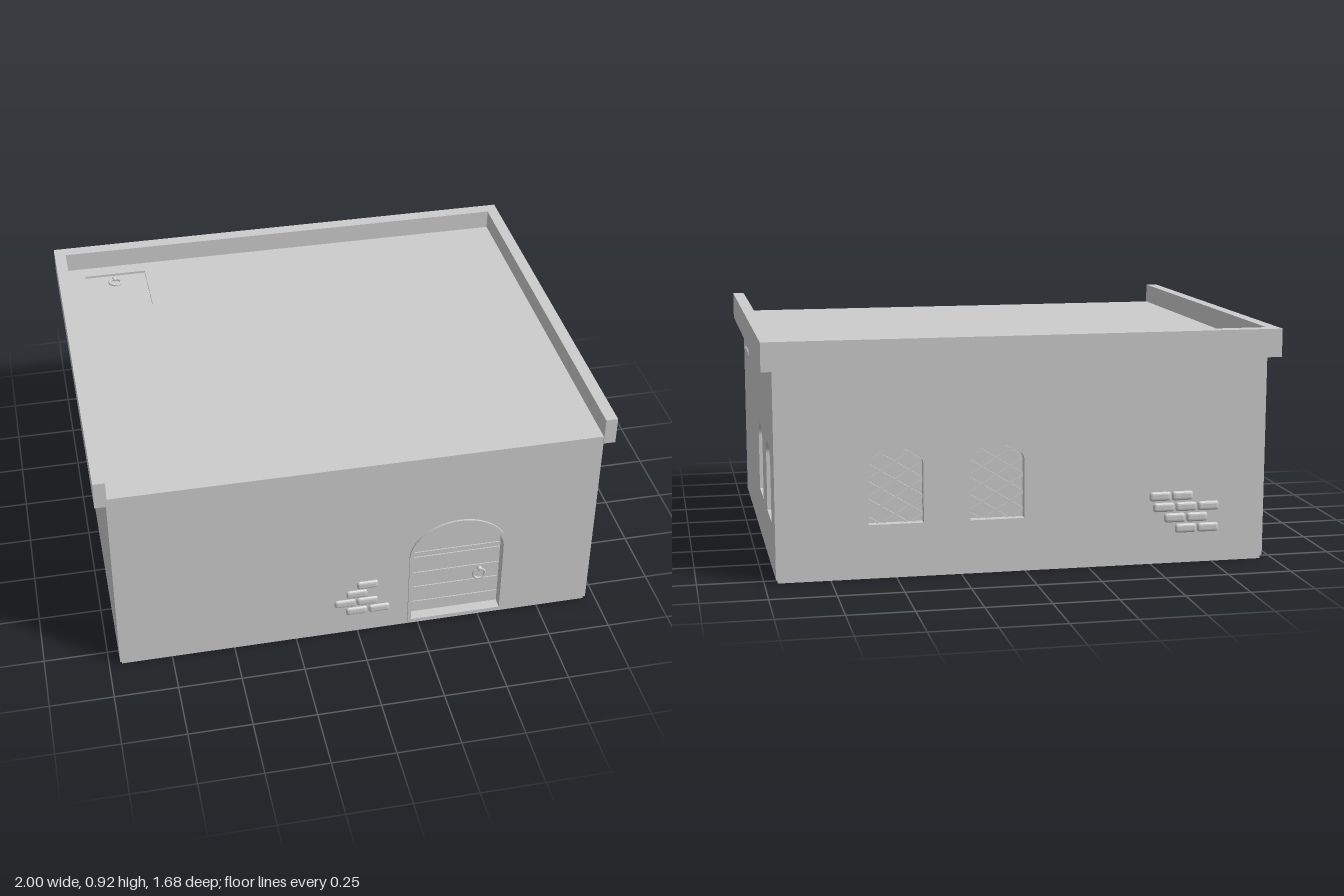
import * as THREE from 'three';
import { RoundedBoxGeometry } from 'three/addons/geometries/RoundedBoxGeometry.js';

const mat = new THREE.MeshStandardMaterial({ color: 0xcccccc, flatShading: true });
const HALF_W = 0.957, FRONT = 0.83, BACK = -0.797, BASE = 0.015, WALL_TOP = 0.82, THICK = 0.05;

function add(parent, name, geo, x = 0, y = 0, z = 0) {
  const mesh = new THREE.Mesh(geo, mat);
  mesh.name = name;
  mesh.position.set(x, y, z);
  parent.add(mesh);
  return mesh;
}

function group(parent, name) {
  const g = new THREE.Group();
  g.name = name;
  parent.add(g);
  return g;
}

const extrude = (shape, depth) =>
  new THREE.ExtrudeGeometry(shape, { depth, bevelEnabled: false, curveSegments: 16 });

function rect(x0, y0, x1, y1) {
  return new THREE.Shape([[x0, y0], [x1, y0], [x1, y1], [x0, y1]].map(p => new THREE.Vector2(...p)));
}

// Opening with a straight lower part and an elliptical head
function arch(cx, half, y0, spring, top) {
  const s = new THREE.Shape();
  s.moveTo(cx - half, y0);
  s.lineTo(cx + half, y0);
  s.lineTo(cx + half, spring);
  s.absellipse(cx, spring, half, top - spring, 0, Math.PI, false);
  s.closePath();
  return s;
}

// Ring handle with a small knob, facing +z
function ringHandle(parent, name) {
  const g = group(parent, name);
  add(g, 'ring', new THREE.TorusGeometry(0.024, 0.005, 8, 20));
  add(g, 'ringKnob', new THREE.SphereGeometry(0.011, 10, 8), 0, 0.027, 0);
  return g;
}

// Pane and diagonal lattice inside one arched opening
function windowFill(parent, cx, y0) {
  const g = group(parent, 'window');
  const half = 0.105, spring = 0.225, top = 0.29, slope = 0.62;
  g.position.set(cx, y0, 0);
  add(g, 'windowPane', extrude(arch(0, half + 0.005, -0.005, spring, top + 0.005), 0.01), 0, 0, -0.045);
  const inside = (x, y) => y >= 0 && y <= spring + (top - spring) * Math.sqrt(Math.max(0, 1 - (x / half) ** 2));
  for (const dir of [-1, 1]) {
    for (let c = -0.04; c < 0.37; c += 0.068) {
      // Clip the bar to the opening
      const xs = [];
      for (let i = 0; i <= 80; i++) {
        const x = -half + (2 * half * i) / 80;
        if (inside(x, c + dir * slope * x)) xs.push(x);
      }
      if (xs.length < 4) continue;
      const a = xs[0], b = xs[xs.length - 1], m = (a + b) / 2;
      const bar = add(g, 'latticeBar',
        new THREE.BoxGeometry((b - a) * Math.hypot(1, slope), 0.007, 0.012), m, c + dir * slope * m, -0.03);
      bar.rotation.z = Math.atan(dir * slope);
    }
  }
}

// Patch of exposed bricks: rows of [y, ...x centres]
function bricks(parent, rows) {
  const g = group(parent, 'exposedBricks');
  for (const [y, ...xs] of rows)
    for (const x of xs) add(g, 'brick', new RoundedBoxGeometry(0.087, 0.038, 0.03, 2, 0.012), x, y, -0.006);
}

// Wall panel whose outer face is local z = 0
function wall(parent, name, x0, x1, holes) {
  const g = group(parent, name);
  const shape = rect(x0, BASE, x1, WALL_TOP);
  shape.holes.push(...holes);
  add(g, name + 'Panel', extrude(shape, THICK), 0, 0, -THICK);
  return g;
}

const windowHole = (cx, y0) => arch(cx, 0.105, y0, y0 + 0.225, y0 + 0.29);

function buildDoor(parent) {
  const g = group(parent, 'door');
  const cx = 0.402;
  const frame = arch(cx, 0.198, BASE, 0.35, 0.515);
  frame.holes.push(arch(cx, 0.184, 0.032, 0.35, 0.5));
  add(g, 'doorFrame', extrude(frame, 0.052), 0, 0, -0.044);
  add(g, 'doorBacking', extrude(arch(cx, 0.19, 0.025, 0.35, 0.505), 0.008), 0, 0, -0.048);
  // Horizontal planks below an arched top panel
  const lines = [0.036, 0.092, 0.17, 0.245, 0.325, 0.35];
  for (let i = 0; i < lines.length - 1; i++) {
    const h = lines[i + 1] - lines[i] - 0.004;
    add(g, 'doorPlank', new THREE.BoxGeometry(0.364, h, 0.012), cx, (lines[i] + lines[i + 1]) / 2, -0.036);
  }
  add(g, 'doorTopPanel', extrude(arch(cx, 0.182, 0.352, 0.354, 0.497), 0.012), 0, 0, -0.042);
  ringHandle(g, 'doorHandle').position.set(0.502, 0.2, -0.024);
}

function buildRoof(parent) {
  const g = group(parent, 'roof');
  // Plans are drawn with shape y = -z, then laid flat
  const slab = rect(-0.96, -0.835, 0.96, 0.8);
  slab.holes.push(rect(-0.88, 0.45, -0.62, 0.72));
  add(g, 'roofSlab', extrude(slab, 0.03), 0, 0.81, 0).rotation.x = -Math.PI / 2;

  // Parapet open at the front
  const plan = [[-1, -0.84], [-0.953, -0.84], [-0.953, 0.785], [0.953, 0.785],
    [0.953, -0.84], [1, -0.84], [1, 0.84], [-1, 0.84]];
  const parapet = new THREE.Shape(plan.map(p => new THREE.Vector2(...p)));
  add(g, 'parapet', extrude(parapet, 0.11), 0, 0.81, 0).rotation.x = -Math.PI / 2;

  // Sunken hatch with a ring lying flat
  add(g, 'roofHatch', new THREE.BoxGeometry(0.27, 0.015, 0.28), -0.75, 0.8225, -0.585);
  const ring = ringHandle(g, 'hatchRing');
  ring.position.set(-0.757, 0.836, -0.657);
  ring.rotation.x = -Math.PI / 2;
}

export function createModel() {
  const model = new THREE.Group();
  model.name = 'flatRoofedHouse';

  // Slightly inset base
  add(model, 'base', new THREE.BoxGeometry(1.9, 0.03, 1.615), 0, 0.015, (FRONT + BACK) / 2);

  const front = wall(model, 'frontWall', -HALF_W, HALF_W, [arch(0.402, 0.19, 0.025, 0.35, 0.507)]);
  front.position.z = FRONT;
  buildDoor(front);
  bricks(front, [[0.115, -0.006, 0.086], [0.16, -0.053, 0.037], [0.203, -0.006], [0.245, 0.037]]);

  // Side walls fit between the front and back walls
  const right = wall(model, 'leftSideWall', -FRONT + THICK, -BACK - THICK,
    [windowHole(0.132, 0.2), windowHole(0.53, 0.2)]);
  right.position.x = HALF_W;
  right.rotation.y = Math.PI / 2;
  for (const x of [0.132, 0.53]) windowFill(right, x, 0.2);
  bricks(right, [[0.685, -0.64, -0.55], [0.727, -0.598]]);

  const back = wall(model, 'backWall', -HALF_W, HALF_W, [windowHole(-0.5, 0.21), windowHole(-0.11, 0.21)]);
  back.position.z = BACK;
  back.rotation.y = Math.PI;
  for (const x of [-0.5, -0.11]) windowFill(back, x, 0.21);
  bricks(back, [[0.14, 0.64, 0.73], [0.183, 0.595, 0.685], [0.226, 0.55, 0.64, 0.73], [0.27, 0.535, 0.625]]);

  const left = wall(model, 'rightSideWall', BACK + THICK, FRONT - THICK, []);
  left.position.x = -HALF_W;
  left.rotation.y = -Math.PI / 2;
  bricks(left, [[0.24, -0.57, -0.48], [0.283, -0.615, -0.525, -0.435], [0.326, -0.57, -0.48], [0.368, -0.525]]);

  buildRoof(model);
  return model;
}
